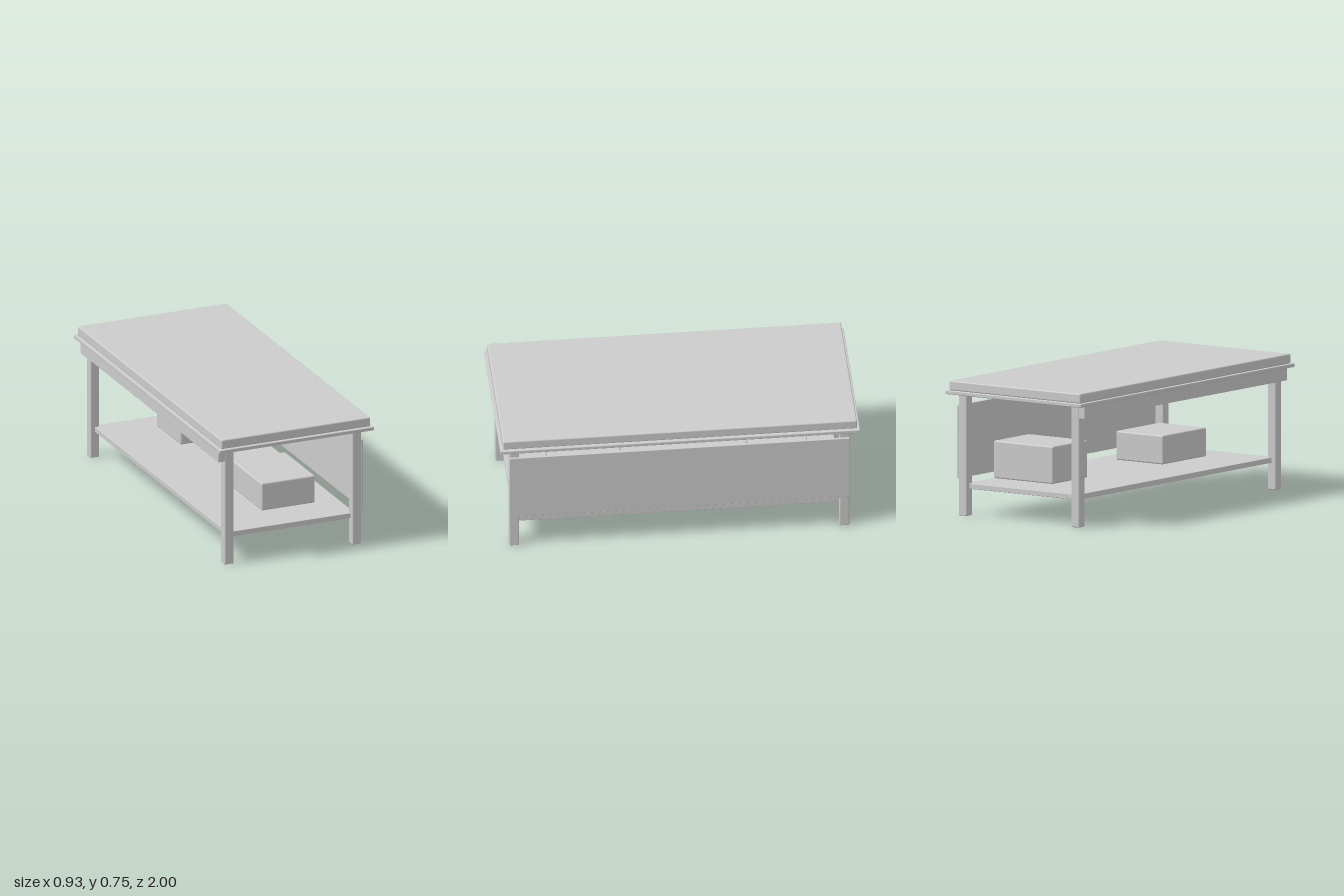
import * as THREE from 'three';
import { RoundedBoxGeometry } from 'three/addons/geometries/RoundedBoxGeometry.js';

export function createModel() {
  const table = new THREE.Group();
  table.name = 'table';
  const grey = new THREE.MeshStandardMaterial({ color: 0xcccccc });
  grey.name = 'plain grey';

  // Softly bevelled block given by its limits on each axis
  function block(name, [x0, x1], [y0, y1], [z0, z1], radius) {
    const geometry = new RoundedBoxGeometry(x1 - x0, y1 - y0, z1 - z0, 3, radius);
    const mesh = new THREE.Mesh(geometry, grey);
    mesh.name = name;
    mesh.position.set((x0 + x1) / 2, (y0 + y1) / 2, (z0 + z1) / 2);
    table.add(mesh);
  }

  // Padded top on its board
  block('topPad', [-0.45, 0.45], [0.7, 0.755], [-0.984, 0.984], 0.008);
  block('topBoard', [-0.466, 0.466], [0.68, 0.701], [-1, 1], 0.004);

  // Four square legs
  for (const sx of [-1, 1]) {
    for (const sz of [-1, 1]) {
      const x = sx * 0.386, z = sz * 0.918;
      block(`${sz > 0 ? 'front' : 'back'}${sx > 0 ? 'Left' : 'Right'}Leg`,
        [x - 0.027, x + 0.027], [0, 0.682], [z - 0.027, z + 0.027], 0.006);
    }
  }

  // Low shelf held between the legs
  block('shelf', [-0.386, 0.386], [0.15, 0.18], [-0.918, 0.918], 0.003);

  // Hanging side panel and the rail under the opposite edge
  block('sidePanel', [0.411, 0.425], [0.207, 0.616], [-0.945, 0.945], 0.003);
  block('sideRail', [-0.452, -0.412], [0.61, 0.682], [-0.945, 0.945], 0.003);

  // Two storage boxes on the shelf
  block('frontBox', [-0.081, 0.243], [0.183, 0.345], [0.29, 0.698], 0.009);
  block('backBox', [-0.081, 0.326], [0.192, 0.402], [-0.738, -0.412], 0.009);

  return table;
}
